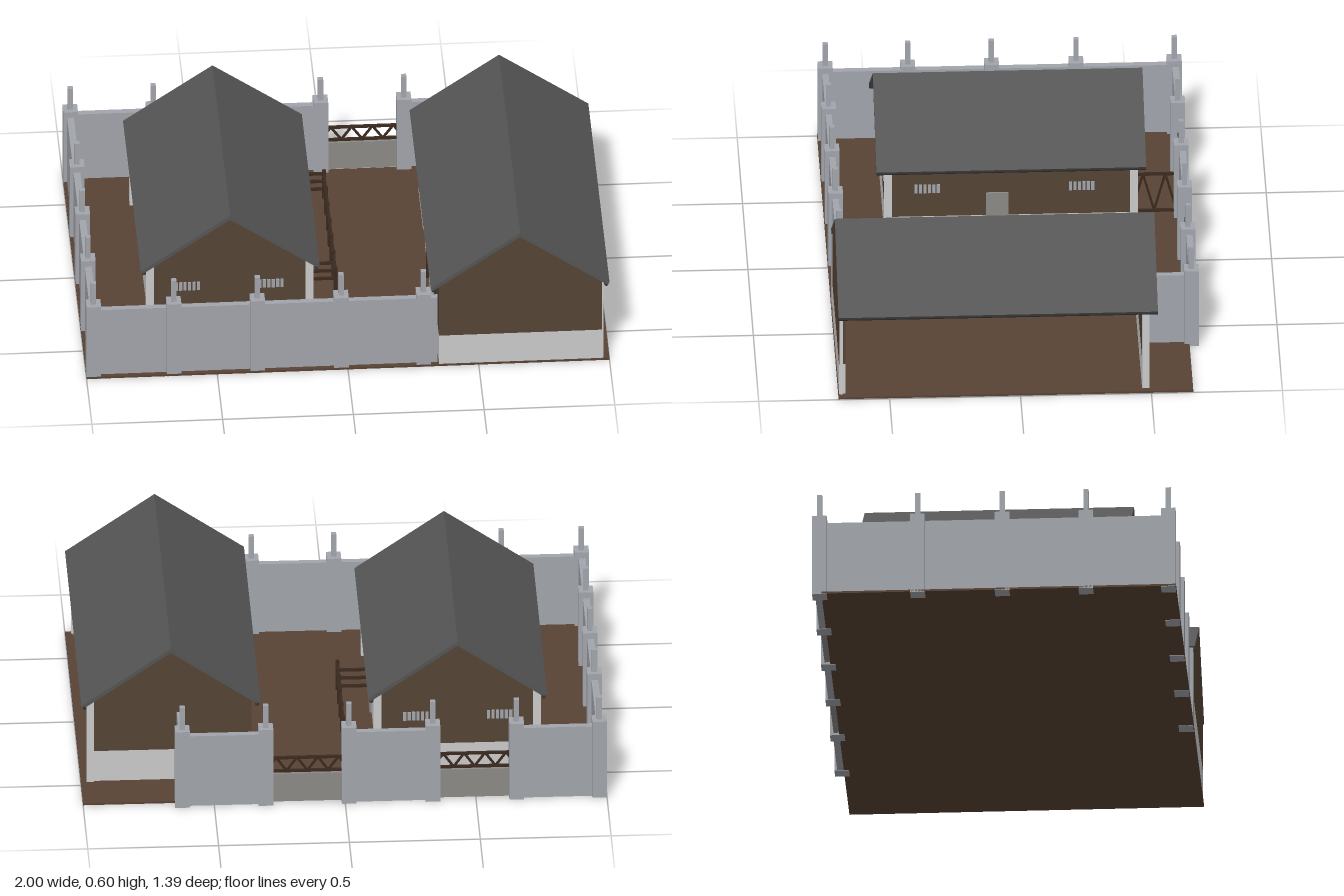
import * as THREE from 'three';

const mat = (name, color, side = THREE.FrontSide) => {
  const m = new THREE.MeshStandardMaterial({ color, side });
  m.name = name;
  return m;
};

export function createModel() {
  const soil = mat('soil brown', 0x584334);
  const brown = mat('wall brown', 0x554434);
  const white = mat('plinth white', 0xcbcbcb);
  const stone = mat('stone grey', 0xa2a5ac);
  const slate = mat('roof slate', 0x555555);
  const wood = mat('dark wood', 0x3a2a1f);
  const lowGrey = mat('gate grey', 0x8c8a86);
  const iron = mat('dark iron', 0x333333);

  const model = new THREE.Group();
  model.name = 'farmyard';

  const add = (parent, name, geo, material) => {
    const mesh = new THREE.Mesh(geo, material);
    mesh.name = name;
    parent.add(mesh);
    return mesh;
  };
  const group = (name, parent = model) => {
    const g = new THREE.Group();
    g.name = name;
    parent.add(g);
    return g;
  };
  // Box given by its minimum and maximum on each axis
  const box = (parent, name, material, x0, x1, y0, y1, z0, z1) => {
    const mesh = add(parent, name, new THREE.BoxGeometry(x1 - x0, y1 - y0, z1 - z0), material);
    mesh.position.set((x0 + x1) / 2, (y0 + y1) / 2, (z0 + z1) / 2);
    return mesh;
  };
  // Outline in the xy plane extruded along z
  const prism = (parent, name, material, pts, z0, z1) => {
    const shape = new THREE.Shape(pts.map(p => new THREE.Vector2(p[0], p[1])));
    const geo = new THREE.ExtrudeGeometry(shape, { depth: z1 - z0, bevelEnabled: false });
    geo.translate(0, 0, z0);
    return add(parent, name, geo, material);
  };
  // Square bar between two points
  const bar = (parent, name, a, b, t, material) => {
    const p = new THREE.Vector3(...a), q = new THREE.Vector3(...b);
    const mesh = add(parent, name, new THREE.BoxGeometry(t, t, p.distanceTo(q)), material);
    mesh.position.copy(p).add(q).multiplyScalar(0.5);
    mesh.lookAt(q);
    return mesh;
  };

  const G = 0.01, BASE = 0.14, EAVE = 0.36;
  box(model, 'ground', soil, -1, 1, 0.002, G, -0.66, 0.695);

  // ---- Perimeter wall with pillars ----
  const fence = group('perimeterWall');
  const pillar = (x, z) => {
    const p = group('pillar', fence);
    box(p, 'pillarShaft', stone, x - 0.028, x + 0.028, 0, 0.33, z - 0.028, z + 0.028);
    box(p, 'pillarFinial', stone, x - 0.01, x + 0.01, 0.33, 0.425, z - 0.01, z + 0.01);
  };
  const frontX = [-0.972, -0.665, -0.345, -0.025, 0.29];
  const backX = [-0.972, -0.655, -0.335, -0.015, 0.303, 0.622];
  frontX.forEach(x => pillar(x, 0.665));
  backX.forEach(x => pillar(x, -0.668));
  [-0.293, 0.03, 0.35].forEach(z => pillar(-0.972, z));
  box(fence, 'frontWall', stone, -0.972, 0.344, G, 0.305, 0.653, 0.677);
  box(fence, 'sideWall', stone, -0.986, -0.96, G, 0.305, -0.668, 0.665);
  box(fence, 'shedLinkWall', stone, 0.61, 0.634, G, 0.305, -0.668, -0.49);

  // Low panel with a braced rail on top, running along x or z
  const lattice = (parent, a, b, y0, y1, n) => {
    const at = (t, y) => [a[0] + (b[0] - a[0]) * t, y, a[1] + (b[1] - a[1]) * t];
    [y0, y1].forEach(y => bar(parent, 'rail', at(0, y), at(1, y), 0.01, wood));
    for (let i = 0; i < n; i++) {
      const up = i % 2 === 0;
      bar(parent, 'brace', at(i / n, up ? y0 : y1), at((i + 1) / n, up ? y1 : y0), 0.008, wood);
    }
  };
  for (let i = 0; i < backX.length - 1; i++) {
    if (i === 1 || i === 3) {
      const gate = group('gate', fence);
      box(gate, 'gatePanel', lowGrey, backX[i], backX[i + 1], G, 0.13, -0.682, -0.662);
      lattice(gate, [backX[i], -0.672], [backX[i + 1], -0.672], 0.138, 0.195, 8);
    } else {
      box(fence, 'backWall', stone, backX[i], backX[i + 1], 0.002, 0.305, -0.685, -0.66);
    }
  }
  const divider = group('yardDivider');
  lattice(divider, [-0.335, -0.65], [-0.335, -0.48], 0.03, 0.19, 4);

  // ---- Shared building parts ----
  // Pitched roof: chevron section with gutters along both eaves
  const roof = (parent, cx, z0, z1) => {
    const w = 0.342, t = 0.018;
    prism(parent, 'roof', slate, [
      [cx - w, EAVE], [cx - w + 0.008, EAVE - 0.012], [cx, 0.6 - t],
      [cx + w - 0.008, EAVE - 0.012], [cx + w, EAVE], [cx, 0.6],
    ], z0, z1);
    [-1, 1].forEach(s => {
      const gutter = add(parent, 'gutter', new THREE.CylinderGeometry(0.008, 0.008, z1 - z0, 8), iron);
      gutter.rotation.x = Math.PI / 2;
      gutter.position.set(cx + s * (w - 0.012), EAVE - 0.01, (z0 + z1) / 2);
    });
  };
  // End wall: white plinth below, brown gable above
  const endWall = (parent, cx, h, z0, z1) => {
    box(parent, 'endPlinth', white, cx - h, cx + h, G, BASE, z0, z1);
    const e = 0.585 - h * 0.7;
    prism(parent, 'gable', brown,
      [[cx - h, BASE], [cx + h, BASE], [cx + h, e], [cx, 0.585], [cx - h, e]], z0, z1);
  };

  // ---- Open shed ----
  const shed = group('openShed');
  roof(shed, 0.658, -0.525, 0.695);
  endWall(shed, 0.66, 0.312, 0.668, 0.692);
  endWall(shed, 0.66, 0.312, -0.485, -0.465);
  box(shed, 'sideUpperWall', brown, 0.348, 0.365, BASE, 0.365, -0.465, 0.668);
  // Plinth pierced by two low hatches
  let zStart = -0.465;
  [[-0.228, -0.107], [0.362, 0.485], [0.668, 0.668]].forEach(([a, b]) => {
    box(shed, 'sidePlinth', white, 0.348, 0.365, G, BASE, zStart, a);
    if (b > a) box(shed, 'hatchLintel', white, 0.348, 0.365, 0.05, BASE, a, b);
    zStart = b;
  });
  box(shed, 'rearPost', white, 0.95, 0.978, G, 0.36, -0.494, -0.466);
  box(shed, 'frontPost', white, 0.972, 0.978, G, 0.36, 0.678, 0.69);
  bar(shed, 'doorPost', [0.343, G, 0.1], [0.343, 0.35, 0.1], 0.01, wood);

  // ---- Enclosed house ----
  const house = group('house');
  const cx = -0.438, h = 0.302;
  roof(house, cx, -0.525, 0.505);
  endWall(house, cx, h, 0.45, 0.47);
  endWall(house, cx, h, -0.49, -0.47);
  [-1, 1].forEach(s => {
    const x = cx + s * (h - 0.01);
    box(house, 'sidePlinth', white, x - 0.01, x + 0.01, G, BASE, -0.47, 0.45);
    box(house, 'sideUpperWall', brown, x - 0.01, x + 0.01, BASE, 0.37, -0.47, 0.45);
    [-0.48, 0.46].forEach(z => {
      const px = cx + s * 0.305;
      box(house, 'cornerPost', white, px - 0.015, px + 0.015, G, 0.365, z - 0.015, z + 0.015);
    });
  });

  // Slatted windows: a row of thin upright plates
  const slats = (x, z, alongX) => {
    const w = group('slattedWindow', house);
    for (let i = 0; i < 6; i++) {
      const d = (i - 2.5) * 0.017;
      const mesh = add(w, 'slat', new THREE.BoxGeometry(0.012, 0.036, 0.006), stone);
      mesh.position.set(x + (alongX ? d : 0), 0.262, z + (alongX ? 0 : d));
      if (!alongX) mesh.rotation.y = Math.PI / 2;
    }
  };
  [-0.6, -0.28].forEach(x => {
    slats(x, 0.472, true);
    slats(x, -0.492, true);
  });
  [-0.28, 0.31].forEach(z => {
    slats(cx + h + 0.002, z, false);
    slats(cx - h - 0.002, z, false);
  });
  box(house, 'door', lowGrey, cx + h, cx + h + 0.008, G, 0.24, 0.0, 0.085);

  // ---- Timber pen beside the house ----
  const pen = group('pen');
  const px = -0.015, wx = -0.13, zA = -0.47, zB = 0.19;
  [0.05, 0.085, 0.12].forEach(y => {
    bar(pen, 'penRail', [px, y, zA], [px, y, zB], 0.01, wood);
    [zA, 0.14].forEach(z => bar(pen, 'penEndRail', [wx, y, z], [px, y, z], 0.01, wood));
  });
  for (let i = 0; i <= 6; i++) {
    const z = zA + (zB - zA) * i / 6;
    bar(pen, 'penPost', [px, G, z], [px, 0.135, z], 0.014, wood);
  }
  return model;
}
